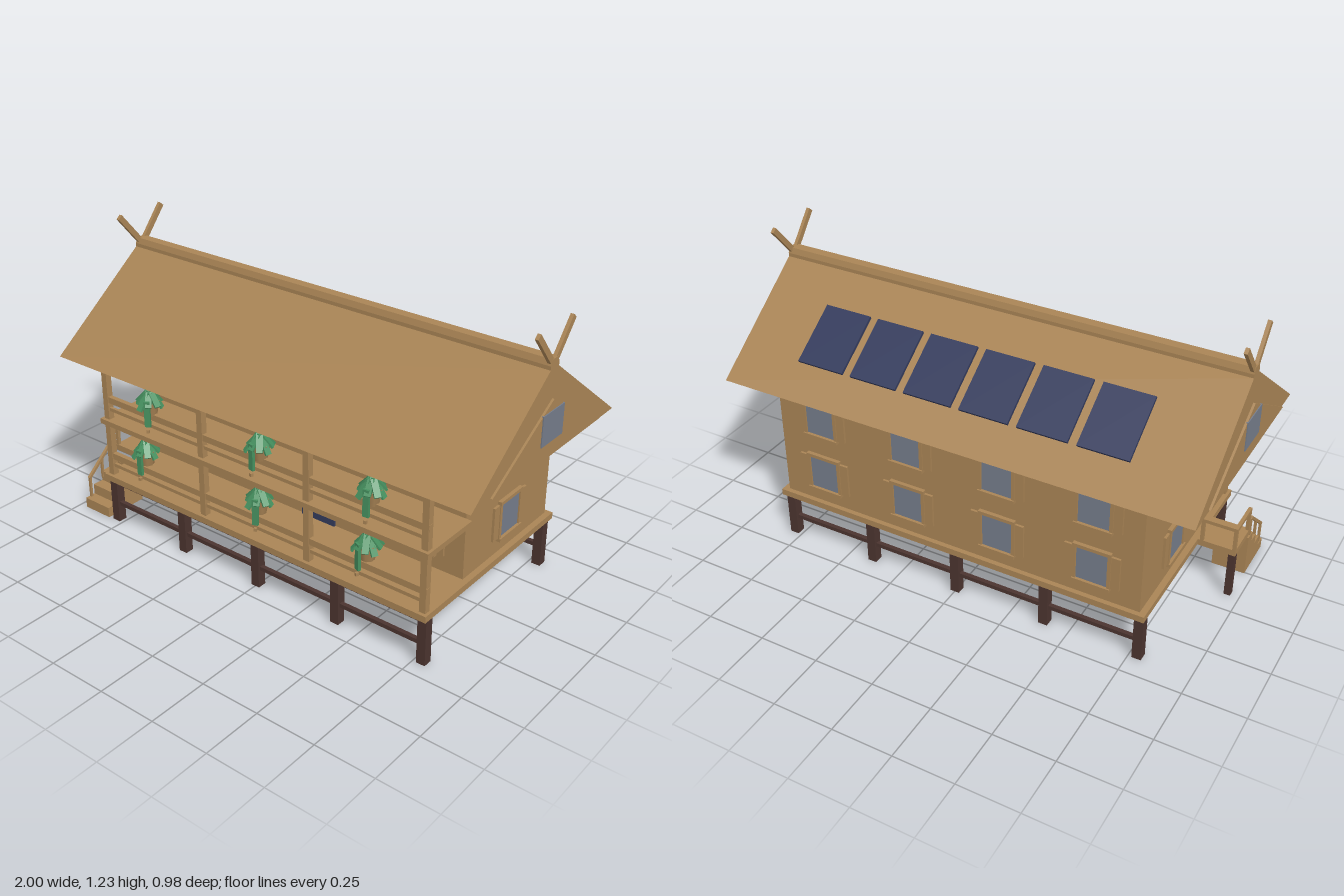
import * as THREE from 'three';

const mat = (name, color, extra = {}) => {
  const m = new THREE.MeshStandardMaterial({ color, ...extra });
  m.name = name;
  return m;
};

export function createModel() {
  const wood = mat('wood', 0xa98455);
  const darkWood = mat('darkWood', 0x4b342f);
  const glass = mat('glass', 0x757c8a);
  const navy = mat('navy', 0x343b5c);
  const green = mat('leafGreen', 0x46905f);

  const model = new THREE.Group();
  model.name = 'stiltHouse';

  const add = (parent, name, geometry, material) => {
    const mesh = new THREE.Mesh(geometry, material);
    mesh.name = name;
    parent.add(mesh);
    return mesh;
  };
  // Box given by its extents on each axis
  const box = (name, [x0, x1], [y0, y1], [z0, z1], material = wood, parent = model) => {
    const m = add(parent, name, new THREE.BoxGeometry(x1 - x0, y1 - y0, z1 - z0), material);
    m.position.set((x0 + x1) / 2, (y0 + y1) / 2, (z0 + z1) / 2);
    return m;
  };
  const around = (c, w) => [c - w / 2, c + w / 2];
  // Square bar between two points
  const bar = (name, a, b, w, h, material = wood, parent = model) => {
    const p = new THREE.Vector3(...a), q = new THREE.Vector3(...b);
    const m = add(parent, name, new THREE.BoxGeometry(w, h, p.distanceTo(q)), material);
    m.position.copy(p).lerp(q, 0.5);
    m.lookAt(q);
    return m;
  };
  // Prism along x from a (z, y) outline
  const prism = (name, points, x0, x1, material = wood) => {
    const shape = new THREE.Shape(points.map(([z, y]) => new THREE.Vector2(-z, y)));
    const g = new THREE.ExtrudeGeometry(shape, { depth: x1 - x0, bevelEnabled: false });
    g.rotateY(Math.PI / 2).translate(x0, 0, 0);
    return add(model, name, g, material);
  };

  // Stilts and their braces
  for (const z of [0.418, -0.397]) {
    for (let i = -2; i <= 2; i++)
      box('stilt', around(i * 0.392, 0.038), [0, 0.2], around(z, 0.038), darkWood);
    box('upperBrace', [-0.785, 0.785], [0.174, 0.196], around(z, 0.018), darkWood);
    box('lowerBrace', [-0.785, 0.785], [0.075, 0.092], around(z, 0.018), darkWood);
  }

  // Floors and walls
  box('deck', [-0.81, 0.81], [0.2, 0.227], [-0.435, 0.455]);
  box('walls', [-0.785, 0.785], [0.227, 0.726], [-0.415, 0.18]);
  box('balconyFloor', [-0.81, 0.81], [0.465, 0.487], [0.18, 0.455]);

  // Veranda posts and railings
  for (const x of [-0.785, -0.262, 0.262, 0.785])
    box('verandaPost', around(x, 0.027), [0.227, 0.726], [0.414, 0.441]);
  for (const y of [0.227, 0.487]) {
    box('handRail', [-0.8, 0.8], [y + 0.075, y + 0.102], [0.418, 0.438]);
    box('lowRail', [-0.785, 0.785], [y + 0.037, y + 0.052], [0.422, 0.434]);
  }

  // Roof with ridge cap, gable trim and gable window
  prism('roof', [[0.488, 0.726], [0.028, 1.07], [-0.028, 1.07], [-0.488, 0.726]], -0.987, 0.987);
  prism('ridgeCap', [[0.028, 1.065], [0.028, 1.085], [0.02, 1.108], [-0.02, 1.108], [-0.028, 1.085], [-0.028, 1.065]], -0.987, 0.987);
  for (const s of [-1, 1]) {
    const span = (a, b) => (s > 0 ? [a, b] : [-b, -a]);
    prism('gablePanel', [[0.372, 0.735], [0, 0.957], [-0.372, 0.735]], ...span(0.98, 0.996));
    box('gableWindow', span(0.992, 1), [0.797, 0.917], [-0.072, 0.072], glass);
    // Crossed ridge finials
    for (const t of [-1, 1])
      bar('finial', [s * 0.978, 1.085, t * 0.004], [s * 0.978, 1.222, t * 0.119], 0.014, 0.024);
  }

  // Solar panels on the rear slope
  for (let i = 0; i < 6; i++) {
    const panel = add(model, 'solarPanel', new THREE.BoxGeometry(0.202, 0.012, 0.255), navy);
    panel.position.set(-0.597 + i * 0.238, 0.917, -0.283);
    panel.rotation.x = -Math.atan2(0.147, 0.21);
  }

  // Window with open shutters, facing +z before it is turned
  const addWindow = (x, y, z, turn) => {
    const w = new THREE.Group();
    w.name = 'window';
    box('pane', [-0.063, 0.063], [-0.073, 0.073], [0, 0.008], glass, w);
    box('windowHead', [-0.077, 0.077], [0.072, 0.086], [0, 0.016], wood, w);
    box('windowSill', [-0.077, 0.077], [-0.086, -0.072], [0, 0.02], wood, w);
    for (const s of [-1, 1]) {
      box('shutter', around(s * 0.0875, 0.049), [-0.072, 0.072], [0, 0.01], wood, w);
      box('jamb', around(s * 0.07, 0.014), [-0.072, 0.072], [0, 0.014], wood, w);
    }
    w.position.set(x, y, z);
    w.rotation.y = turn;
    model.add(w);
  };
  for (const y of [0.368, 0.625]) {
    for (const x of [-0.59, -0.197, 0.197, 0.59]) {
      addWindow(x, y, -0.415, Math.PI);
      if (x !== 0.197 || y > 0.5) addWindow(x, y, 0.18, 0);
    }
    for (const s of [-1, 1]) addWindow(s * 0.785, y, -0.1175, s * Math.PI / 2);
  }
  box('door', [0.035, 0.197], [0.227, 0.447], [0.18, 0.189], navy);

  // Side landing and stairs
  box('landing', [-0.965, -0.81], [0.2, 0.227], [0.085, 0.247]);
  box('landingPost', around(-0.95, 0.027), [0, 0.2], around(0.101, 0.027), darkWood);
  prism('stairs', [
    [0.442, 0], [0.442, 0.045], [0.393, 0.045], [0.393, 0.09], [0.343, 0.09],
    [0.343, 0.135], [0.293, 0.135], [0.293, 0.18], [0.245, 0.18], [0.245, 0],
  ], -0.965, -0.825);
  for (const [x, z] of [[-0.958, 0.238], [-0.958, 0.092], [-0.825, 0.092]])
    box('landingRailPost', around(x, 0.014), [0.227, 0.32], around(z, 0.014));
  box('landingSideRail', [-0.965, -0.951], [0.315, 0.33], [0.085, 0.245]);
  box('landingEndRail', [-0.965, -0.818], [0.315, 0.33], [0.085, 0.099]);
  for (const [z, y] of [[0.416, 0.045], [0.343, 0.11], [0.27, 0.18]])
    box('stairRailPost', around(-0.958, 0.01), [y, y + 0.09], around(z, 0.01));
  bar('stairHandRail', [-0.958, 0.135, 0.42], [-0.958, 0.27, 0.264], 0.012, 0.012);

  // Hanging plants: pot, drooping leaves, trailing vine and hanger
  const addPlant = (x, y, top, turn) => {
    const p = new THREE.Group();
    p.name = 'hangingPlant';
    add(p, 'pot', new THREE.CylinderGeometry(0.04, 0.027, 0.065, 8).toNonIndexed(), wood).position.y = -0.033;
    for (let i = 0; i < 9; i++) {
      const a = (i / 9) * Math.PI * 2, r = i % 2 ? 0.058 : 0.05, drop = i % 3 ? -0.012 : -0.03;
      const c = Math.cos(a), s = Math.sin(a);
      bar('leaf', [c * 0.006, 0.042, s * 0.006], [c * r, drop, s * r], 0.025, 0.009, green, p);
    }
    const crown = add(p, 'crown', new THREE.ConeGeometry(0.042, 0.05, 7), green);
    crown.position.y = 0.022;
    box('vine', [-0.012, 0.012], [-0.1, 0.01], [0.034, 0.046], green, p);
    box('vineTip', [-0.006, 0.006], [-0.125, -0.112], [0.038, 0.05], wood, p);
    box('hanger', [-0.004, 0.004], [0.03, top - y], [-0.004, 0.004], wood, p);
    p.position.set(x, y, 0.427);
    p.rotation.y = turn;
    model.add(p);
  };
  [-0.54, 0.035, 0.55].forEach((x, i) => addPlant(x, 0.645, 0.726, [0.5, -0.2, 0.1][i]));
  [-0.578, 0.025, 0.535].forEach((x, i) => addPlant(x, 0.41, 0.465, [0, 0.3, -0.4][i]));

  return model;
}
